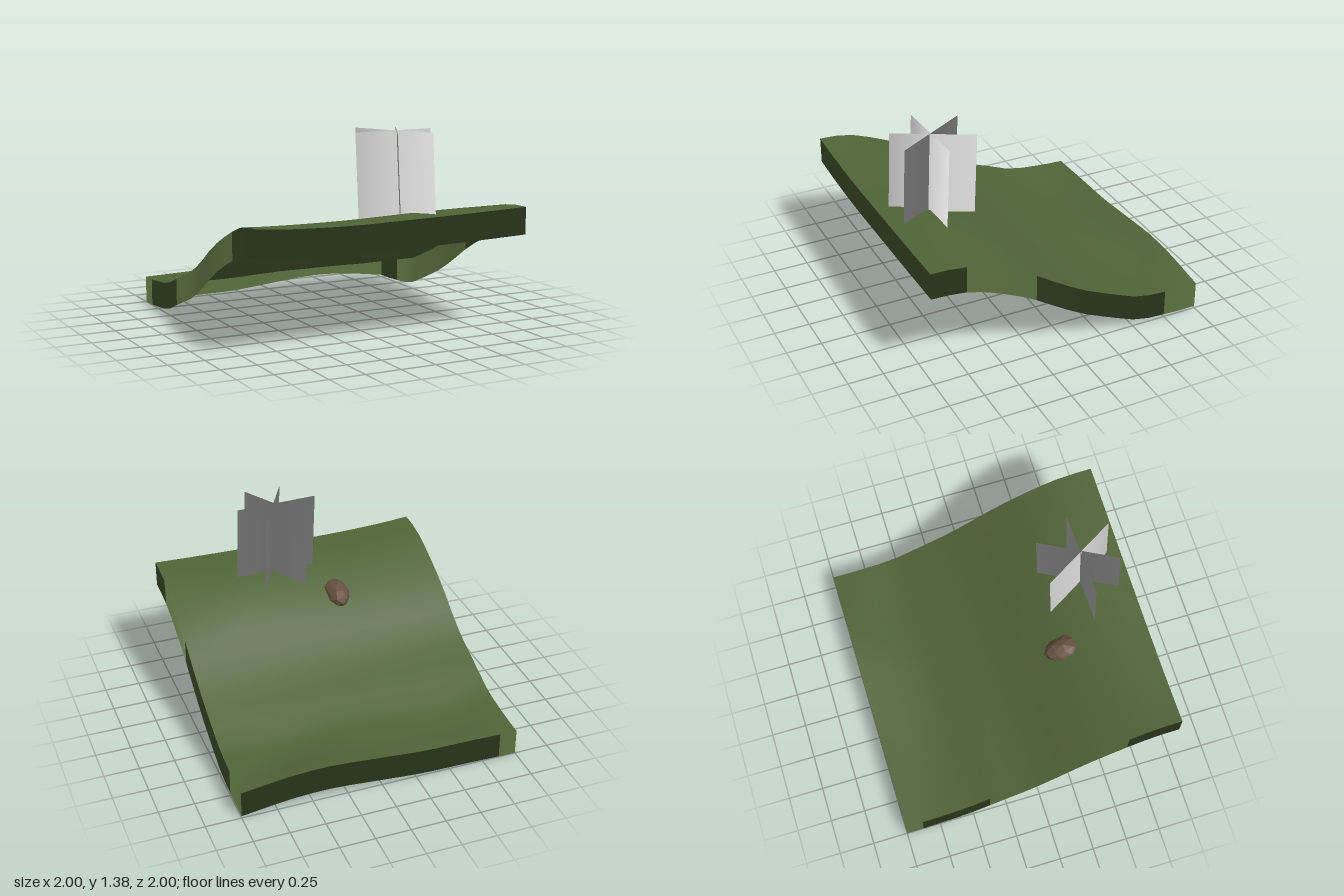
import * as THREE from 'three';

// smooth curve through [position, value] pairs
function curve(points) {
  const c = new THREE.CubicInterpolant(points.map(p => p[0]), points.map(p => p[1]), 1);
  return t => c.evaluate(t)[0];
}

// soft bump of height 1 that fades out at the given half-width
function bump(t, centre, halfWidth) {
  const d = Math.min(Math.abs(t - centre) / halfWidth, 1);
  return 0.5 + 0.5 * Math.cos(Math.PI * d);
}

// hillside heights: main slope, plus gentle sideways waves at five depths
const slope = curve([[-1, 0.2], [-0.77, 0.197], [-0.57, 0.22], [-0.3, 0.325], [-0.1, 0.413], [0.1, 0.53],
  [0.3, 0.66], [0.5, 0.766], [0.7, 0.83], [1, 0.84]]);
const frontWave = curve([[-1, 0.02], [-0.75, 0.002], [-0.3, -0.01], [0, -0.006], [0.6, 0.005], [1, 0.016]]);
const upperWave = curve([[-1, -0.032], [-0.2, -0.022], [0.5, 0], [1, -0.014]]);
const lowerWave = curve([[-1, -0.028], [-0.2, -0.014], [0.5, -0.004], [1, 0.002]]);
const valleyWave = curve([[-1, 0.01], [-0.6, -0.014], [-0.2, -0.002], [0.2, 0.003], [0.6, -0.012], [1, 0.01]]);
const backWave = curve([[-1, -0.01], [-0.6, 0], [-0.3, 0.005], [0, 0.03], [0.4, 0.06], [0.65, 0.05], [1, 0.005]]);

function height(x, z) {
  return slope(z)
    + frontWave(x) * THREE.MathUtils.smoothstep(z, 0.5, 1)
    + upperWave(x) * bump(z, 0.54, 0.4)
    + lowerWave(x) * bump(z, 0.08, 0.5)
    + valleyWave(x) * bump(z, -0.72, 0.28)
    + backWave(x) * THREE.MathUtils.clamp((-0.55 - z) / 0.45, 0, 1);
}

// grid of heights whose outermost ring drops straight down as a skirt
function terrainGeometry(cells, skirt) {
  const n = cells + 2;
  const geo = new THREE.PlaneGeometry(2, 2, n, n).rotateX(-Math.PI / 2);
  const pos = geo.attributes.position, nor = geo.attributes.normal;
  const v = new THREE.Vector3();
  const e = 0.02;
  const at = i => THREE.MathUtils.clamp((i - 1) / cells, 0, 1) * 2 - 1;
  for (let row = 0; row <= n; row++) {
    for (let col = 0; col <= n; col++) {
      const i = row * (n + 1) + col;
      const x = at(col), z = at(row);
      const rim = row === 0 || col === 0 || row === n || col === n;
      pos.setXYZ(i, x, height(x, z) - (rim ? skirt : 0), z);
      // the skirt keeps the ground's normals so the edge stays soft
      const x0 = Math.max(x - e, -1), x1 = Math.min(x + e, 1);
      const z0 = Math.max(z - e, -1), z1 = Math.min(z + e, 1);
      v.set(-(height(x1, z) - height(x0, z)) / (x1 - x0), 1, -(height(x, z1) - height(x, z0)) / (z1 - z0)).normalize();
      nor.setXYZ(i, v.x, v.y, v.z);
    }
  }
  return geo;
}

// upright card, leaning slightly back, with foliage normals that point up and outwards
function cardGeometry(degrees, length, bottom, top, lean) {
  const geo = new THREE.PlaneGeometry(length, top - bottom, 2, 1);
  const pos = geo.attributes.position, nor = geo.attributes.normal;
  const angle = THREE.MathUtils.degToRad(degrees);
  const c = Math.cos(angle), s = Math.sin(angle);
  const v = new THREE.Vector3();
  for (let i = 0; i < pos.count; i++) {
    const r = pos.getX(i);
    const up = pos.getY(i) > 0 ? 1 : 0;
    pos.setXYZ(i, r * c + up * lean.x, up ? top : bottom, r * s + up * lean.y);
    v.set(2.4 * r * c, 1, 2.4 * r * s).normalize();
    nor.setXYZ(i, v.x, v.y, v.z);
  }
  return geo;
}

// uneven pebble, narrower and lower towards the back
function rockGeometry() {
  const geo = new THREE.IcosahedronGeometry(1, 1);
  const pos = geo.attributes.position;
  for (let i = 0; i < pos.count; i++) {
    const x = pos.getX(i), y = pos.getY(i), z = pos.getZ(i);
    const uneven = 1 + 0.05 * Math.sin(5 * x + 3 * y + 4 * z);
    pos.setXYZ(i, x * 0.1 * (0.92 + 0.15 * z) * uneven, y * 0.076 * uneven + 0.018 * z, z * 0.135);
  }
  geo.computeVertexNormals();
  return geo;
}

export function createModel() {
  const model = new THREE.Group();
  const material = (name, color, side = THREE.FrontSide) => {
    const m = new THREE.MeshStandardMaterial({ color, side });
    m.name = name;
    return m;
  };
  const grass = material('grass green', 0x506538, THREE.DoubleSide);
  const pale = material('pale grey', 0xc8c8c8, THREE.DoubleSide);
  const brown = material('rock brown', 0x665040);
  brown.flatShading = true;

  const add = (parent, name, geo, mat) => {
    const mesh = new THREE.Mesh(geo, mat);
    mesh.name = name;
    parent.add(mesh);
    return mesh;
  };

  // hillside
  add(model, 'hillside', terrainGeometry(16, 0.19), grass);

  // plant made of three crossing cards: base x, base z, angle, length
  const plant = new THREE.Group();
  plant.name = 'plantCards';
  model.add(plant);
  const lean = new THREE.Vector2(-0.011, -0.03);
  for (const [x, z, degrees, length] of [
    [0.186, 0.66, -2, 0.586],
    [0.217, 0.649, 118, 0.582],
    [0.195, 0.65, 59.4, 0.598],
  ]) {
    add(plant, 'plantCard', cardGeometry(degrees, length, 0.805, 1.38, lean), pale).position.set(x, 0, z);
  }

  // rock
  add(model, 'rock', rockGeometry(), brown).position.set(-0.2, 0.68, 0.405);

  return model;
}
